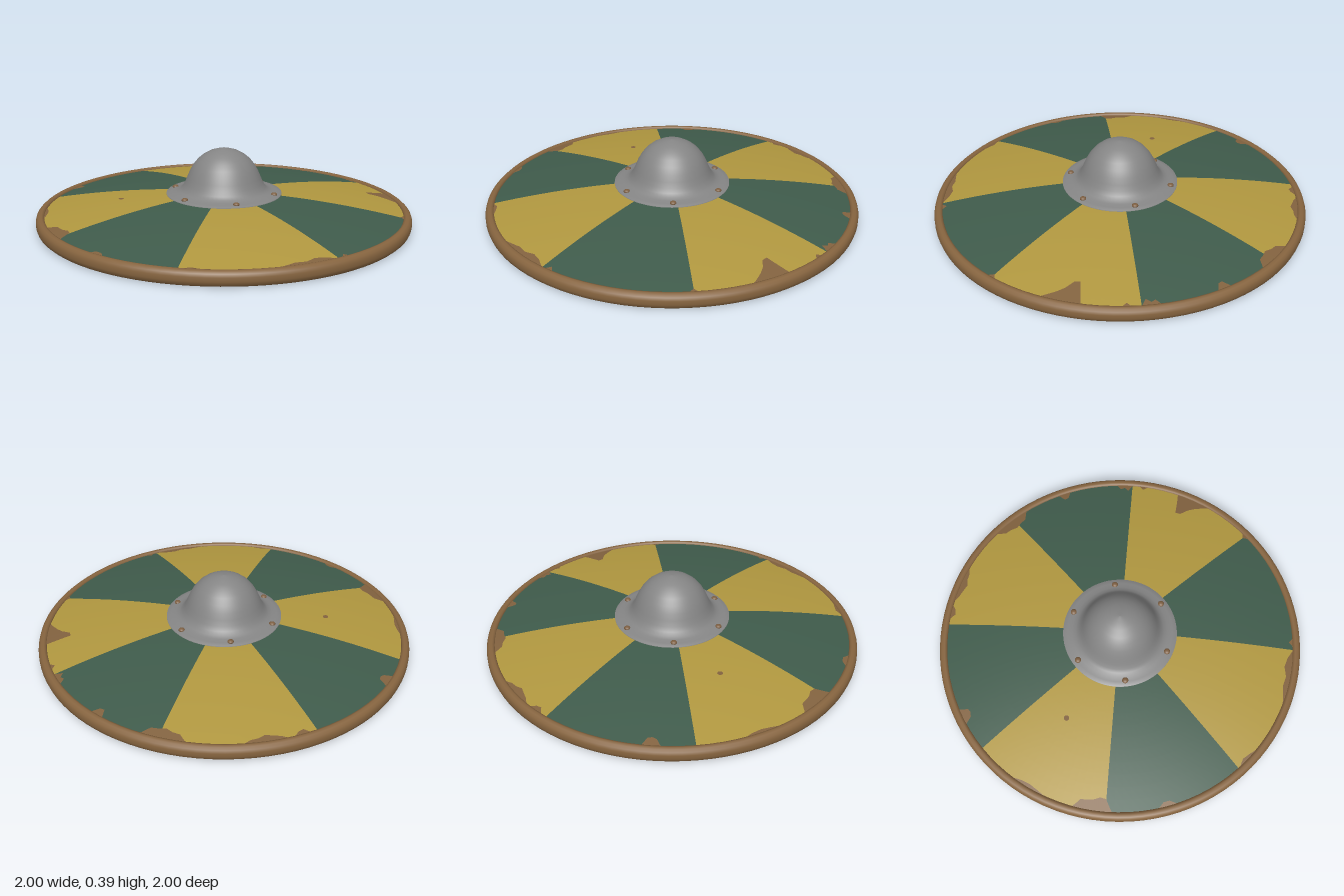
import * as THREE from 'three';

const mat = (name, color) => Object.assign(new THREE.MeshStandardMaterial({ color }), { name });
const materials = {
  yellow: mat('yellowPaint', 0xb0973f),
  green: mat('greenPaint', 0x3f5b4b),
  wood: mat('bareWood', 0x82623f),
  rim: mat('rimLeather', 0x86643f),
  steel: mat('bossSteel', 0x858585),
  rivet: mat('rivetBronze', 0x7d5f42),
};

const RAD = Math.PI / 180;
const EDGE = 0.958;
// Height of the bowed board at radius r
const boardY = (r) => 0.157 - 0.102 * r * r;

function add(parent, name, geometry, material) {
  const mesh = new THREE.Mesh(geometry, material);
  mesh.name = name;
  parent.add(mesh);
  return mesh;
}

function lathe(points, segments = 96, start = 0, length = Math.PI * 2) {
  return new THREE.LatheGeometry(points.map(([x, y]) => new THREE.Vector2(x, y)), segments, start, length);
}

// Worn strip at the board's edge: depths are spread evenly over the angles
function chipGeometry(from, to, depths) {
  const pos = [], index = [], sub = 3, n = (depths.length - 1) * sub;
  for (let i = 0; i <= n; i++) {
    const a = (from + ((to - from) * i) / n) * RAD;
    const k = Math.min(Math.floor(i / sub), depths.length - 2);
    const depth = THREE.MathUtils.lerp(depths[k], depths[k + 1], i / sub - k);
    for (const r of [EDGE - depth, EDGE]) {
      pos.push(r * Math.cos(a), boardY(r) + 0.002, -r * Math.sin(a));
    }
    if (i < n) {
      const q = i * 2;
      index.push(q, q + 1, q + 3, q, q + 3, q + 2);
    }
  }
  const g = new THREE.BufferGeometry();
  g.setAttribute('position', new THREE.Float32BufferAttribute(pos, 3));
  g.setIndex(index);
  g.computeVertexNormals();
  return g;
}

export function createModel() {
  const shield = new THREE.Group();
  shield.name = 'roundShield';

  // Painted face: eight equal wedges in alternating colours
  const face = [];
  for (let i = 0; i <= 12; i++) {
    const r = EDGE + (0.2 - EDGE) * (i / 12);
    face.push([r, boardY(r)]);
  }
  for (let k = 0; k < 8; k++) {
    const green = k % 2 === 0;
    add(shield, green ? 'greenWedge' : 'yellowWedge',
      lathe(face, 16, (k * 45 - 22.5) * RAD, 45 * RAD),
      green ? materials.green : materials.yellow);
  }

  // Hollow back of the board
  const back = [];
  for (let i = 0; i <= 10; i++) {
    const r = 0.962 * (i / 10);
    back.push([r, boardY(r) - 0.03]);
  }
  add(shield, 'boardBack', lathe(back), materials.wood);

  // Rounded rim band
  add(shield, 'rim', lathe([
    [0.957, 0.02], [0.961, 0.006], [0.97, 0], [0.984, 0.002], [0.995, 0.012], [1, 0.028],
    [1, 0.048], [0.995, 0.063], [0.984, 0.073], [0.97, 0.075], [0.96, 0.072], [0.954, 0.06], [0.957, 0.02],
  ]), materials.rim);

  // Domed boss with a flared flange
  add(shield, 'boss', lathe([
    [0.31, 0.144], [0.31, 0.152], [0.285, 0.156], [0.26, 0.161], [0.24, 0.169], [0.224, 0.184],
    [0.21, 0.207], [0.198, 0.235], [0.184, 0.268], [0.165, 0.302], [0.14, 0.333], [0.11, 0.358],
    [0.075, 0.377], [0.035, 0.389], [0, 0.394],
  ], 64), materials.steel);

  // Six rivets around the flange
  for (let k = 0; k < 6; k++) {
    const a = (17.8 + 60 * k) * RAD;
    const rivet = add(shield, 'rivet', new THREE.SphereGeometry(0.017, 14, 10), materials.rivet);
    rivet.scale.y = 0.65;
    rivet.position.set(0.278 * Math.cos(a), 0.158, -0.278 * Math.sin(a));
  }

  // Worn paint: start angle, end angle, depths inward from the rim
  const chips = [
    [21, 24, [0, 0.022, 0]],
    [39, 51, [0, 0.025, 0.05, 0.08, 0.125, 0.13, 0]],
    [62, 65, [0, 0.022, 0]],
    [67.5, 73, [0, 0.04, 0.02, 0.03, 0]],
    [89.8, 94.2, [0, 0.038, 0.042, 0]],
    [107, 120.5, [0, 0.045, 0.05, 0.06, 0.045, 0.04, 0]],
    [136, 149, [0, 0.02, 0.025, 0.04, 0.03, 0.02, 0]],
    [150.5, 155.5, [0, 0.022, 0.028, 0]],
    [187.5, 193, [0, 0.045, 0.05, 0.04, 0]],
    [216, 228, [0, 0.015, 0.02, 0.012, 0]],
    [237, 249.5, [0, 0.045, 0.05, 0.055, 0.07, 0.065, 0]],
    [264, 270, [0, 0.025, 0.025, 0]],
    [293, 301, [0, 0.02, 0.012, 0]],
    [318, 337.5, [0, 0.015, 0.03, 0.025, 0.042, 0.03, 0]],
    [338.5, 341.5, [0, 0.025, 0]],
  ];
  for (const [from, to, depths] of chips) {
    add(shield, 'wornPaint', chipGeometry(from, to, depths), materials.wood);
  }
  const spot = add(shield, 'wornSpot', new THREE.CircleGeometry(0.015, 10), materials.wood);
  spot.rotation.x = -Math.PI / 2;
  spot.position.set(-0.415, boardY(0.553) + 0.004, 0.365);

  return shield;
}
